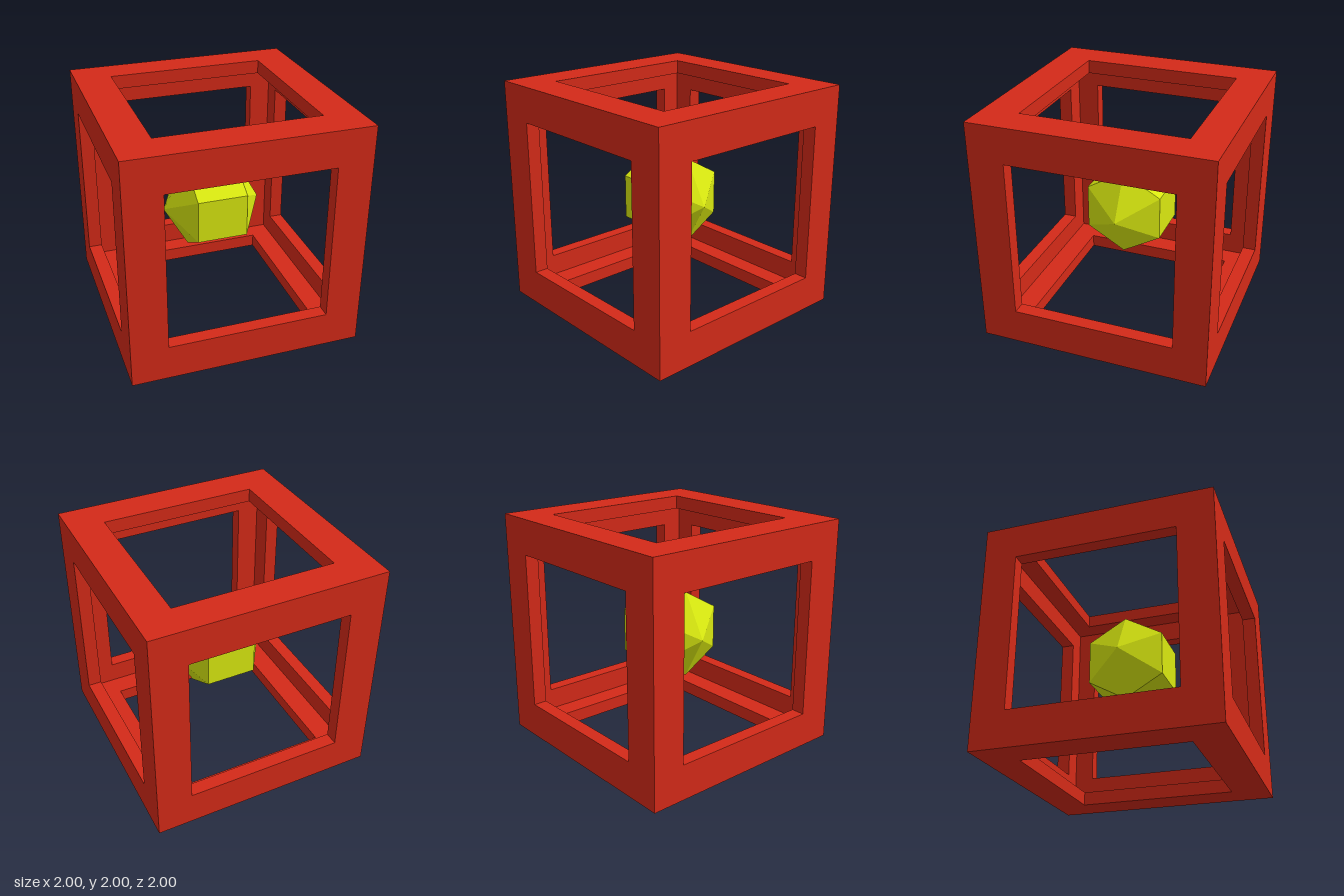
import * as THREE from 'three';

const WALL = 0.12; // wall thickness of the hollow cube

// One mitred wall of the cube, facing +z, with a rectangular window.
function wallGeometry(cx, cy, halfW, halfH) {
  const rect = (target, x, y, w, h) => {
    target.moveTo(x - w, y - h);
    target.lineTo(x + w, y - h);
    target.lineTo(x + w, y + h);
    target.lineTo(x - w, y + h);
    target.closePath();
    return target;
  };
  const shape = rect(new THREE.Shape(), 0, 0, 1, 1);
  shape.holes.push(rect(new THREE.Path(), cx, cy, halfW, halfH));
  const source = new THREE.ExtrudeGeometry(shape, { depth: WALL, bevelEnabled: false });
  const p = source.attributes.position;

  // Keep the two faces and the window reveal; leave out the hidden mitre joints.
  const kept = [];
  for (let i = 0; i < p.count; i += 3) {
    const tri = [0, 1, 2].map((k) => new THREE.Vector3().fromBufferAttribute(p, i + k));
    const onRim = tri.every((v) => Math.max(Math.abs(v.x), Math.abs(v.y)) > 0.99);
    const flat = tri.every((v) => Math.abs(v.z - tri[0].z) < 1e-6);
    if (onRim && !flat) continue;
    for (const v of tri) {
      // Pull the inner rim in so neighbouring walls meet at 45 degrees.
      if (v.z < WALL / 2) {
        const limit = 1 - WALL;
        v.x = THREE.MathUtils.clamp(v.x, -limit, limit);
        v.y = THREE.MathUtils.clamp(v.y, -limit, limit);
      }
      kept.push(v.x, v.y, v.z + 1 - WALL);
    }
  }
  const geometry = new THREE.BufferGeometry();
  geometry.setAttribute('position', new THREE.Float32BufferAttribute(kept, 3));
  geometry.computeVertexNormals();
  return geometry;
}

export function createModel() {
  const model = new THREE.Group();
  model.name = 'gemInFrame';
  const red = new THREE.MeshStandardMaterial({ color: 0xd42a18 });
  const yellow = new THREE.MeshStandardMaterial({ color: 0xd8e810, flatShading: true });

  // Hollow cube: six walls, each with a slightly off-centre window
  const frame = new THREE.Group();
  frame.name = 'cubeFrame';
  frame.position.y = 1;
  const q = Math.PI / 2;
  const dx = 0.005, dz = 0.0125, a = 0.69, b = 0.6975;
  const walls = [
    ['frontWall', 0, 0, dx, 0, a, a],
    ['backWall', 0, 2 * q, -dx, 0, a, a],
    ['rightWall', 0, q, dz, 0, b, a],
    ['leftWall', 0, -q, -dz, 0, b, a],
    ['topWall', -q, 0, dx, dz, a, b],
    ['bottomWall', q, 0, dx, -dz, a, b],
  ];
  for (const [name, rx, ry, ...win] of walls) {
    const wall = new THREE.Mesh(wallGeometry(...win), red);
    wall.name = name;
    wall.rotation.set(rx, ry, 0);
    frame.add(wall);
  }
  model.add(frame);

  // Floating gem: hexagonal prism along x with a pyramid at each end
  const profile = [[0, -0.435], [0.38, -0.22], [0.38, 0.22], [0, 0.435]]
    .map(([r, y]) => new THREE.Vector2(r, y));
  const gemGeometry = new THREE.LatheGeometry(profile, 6, q).rotateZ(q);
  const gem = new THREE.Mesh(gemGeometry, yellow);
  gem.name = 'gem';
  gem.position.y = 1;
  model.add(gem);

  return model;
}
